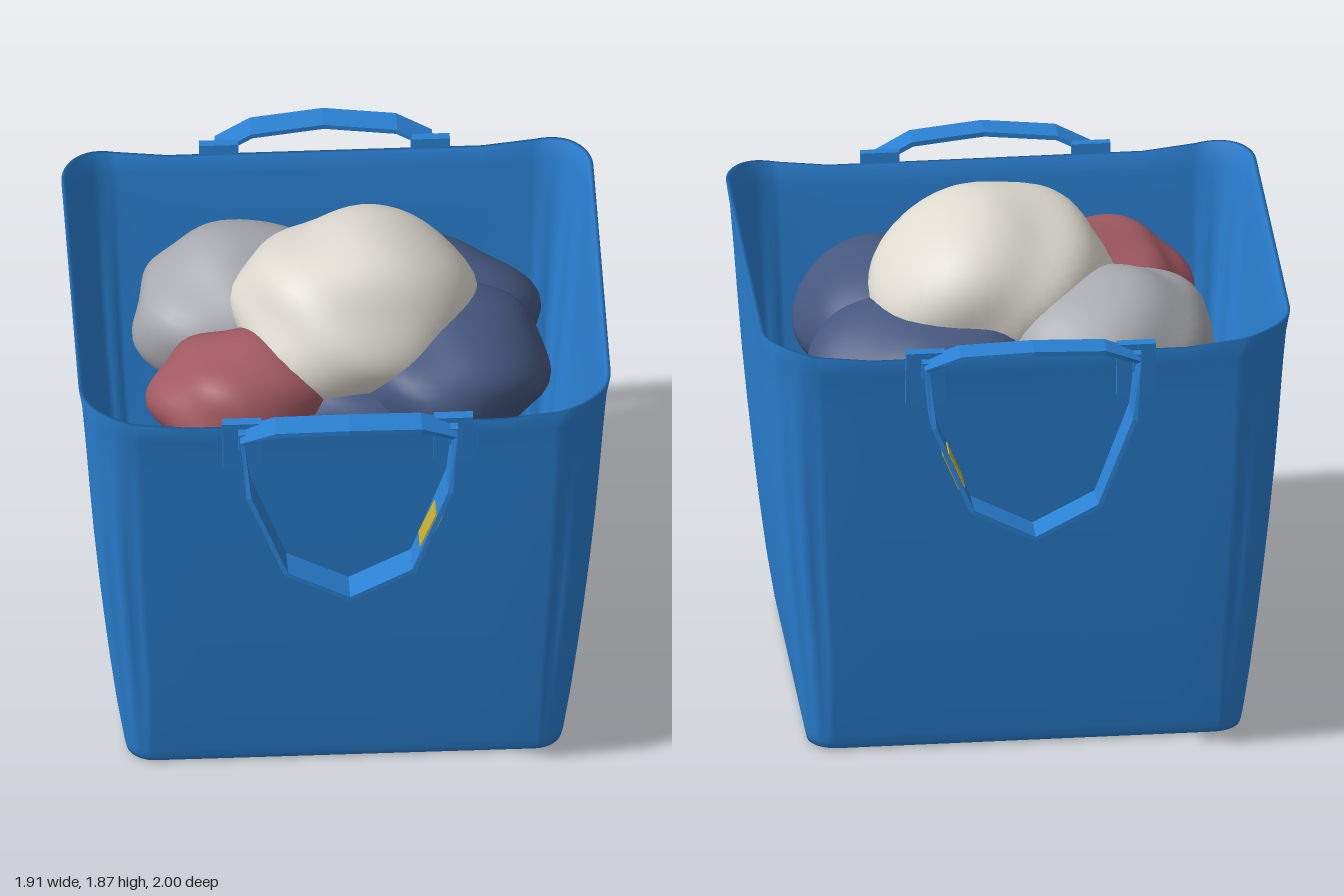
import * as THREE from 'three';
import { mergeVertices } from 'three/addons/utils/BufferGeometryUtils.js';

const mat = (name, color, extra = {}) => {
  const m = new THREE.MeshStandardMaterial({ color, ...extra });
  m.name = name;
  return m;
};

function part(parent, name, geometry, material, pos = [0, 0, 0]) {
  const mesh = new THREE.Mesh(geometry, material);
  mesh.name = name;
  mesh.position.set(...pos);
  parent.add(mesh);
  return mesh;
}

// Rounded rectangle ring, counter-clockwise from above, with softly creased corners
function ring(hx, hz, r, y, crease) {
  const pts = [], arc = 12, side = 8;
  const corners = [[1, -1], [-1, -1], [-1, 1], [1, 1]];
  corners.forEach(([sx, sz], c) => {
    const cx = sx * (hx - r), cz = sz * (hz - r);
    for (let i = 0; i <= arc; i++) {
      const t = i / arc, a = (c + t) * Math.PI / 2;
      const rr = r - crease * Math.sin(t * Math.PI * 3) ** 2;
      pts.push([cx + rr * Math.cos(a), y, cz - rr * Math.sin(a)]);
    }
    const [nx, nz] = corners[(c + 1) % 4], b = (c + 1) * Math.PI / 2;
    const s = [cx + r * Math.cos(b), cz - r * Math.sin(b)];
    const e = [nx * (hx - r) + r * Math.cos(b), nz * (hz - r) - r * Math.sin(b)];
    for (let i = 1; i < side; i++) {
      const t = i / side;
      pts.push([s[0] + (e[0] - s[0]) * t, y, s[1] + (e[1] - s[1]) * t]);
    }
  });
  return pts;
}

// Tub shell: underside, outer wall, rim, inner wall and floor in one loft
function tubGeometry() {
  const wall = [
    [0.785, 0.655, 0.1, 0.03], [0.79, 0.66, 0.1, 0.06], [0.815, 0.68, 0.12, 0.22],
    [0.84, 0.702, 0.14, 0.42], [0.862, 0.722, 0.15, 0.62], [0.882, 0.74, 0.16, 0.82],
    [0.9, 0.757, 0.17, 1.02], [0.915, 0.772, 0.18, 1.22], [0.93, 0.786, 0.19, 1.42],
    [0.942, 0.797, 0.2, 1.55], [0.955, 0.808, 0.2, 1.62],
  ];
  const rows = [[0.002, 0.002, 0.001, 0], [0.6, 0.5, 0.1, 0], [0.765, 0.635, 0.09, 0],
    [0.78, 0.65, 0.1, 0.008], ...wall];
  const d = 0.014;
  [...wall].reverse().forEach(([x, z, r, y]) => {
    if (y > 0.1) rows.push([x - d, z - d, r - d, y]);
  });
  rows.push([0.74, 0.61, 0.1, 0.08], [0.5, 0.4, 0.1, 0.05], [0.002, 0.002, 0.001, 0.05]);

  const pos = [], idx = [];
  let n = 0;
  rows.forEach(([hx, hz, r, y]) => {
    const crease = y > 0.1 ? 0.014 * Math.sin(Math.PI * Math.min(1, y / 1.6)) : 0;
    const pts = ring(hx, hz, r, y, crease);
    n = pts.length;
    // the rim rises toward the two side walls
    const lift = 0.05 * Math.max(0, (y - 1.2) / 0.42) ** 2;
    pts.forEach(([x, py, z]) =>
      pos.push(x, py + lift * THREE.MathUtils.smoothstep(Math.abs(x), 0.6, 0.94), z));
  });
  for (let j = 0; j < rows.length - 1; j++) {
    for (let i = 0; i < n; i++) {
      const a = j * n + i, b = j * n + (i + 1) % n;
      idx.push(a, b, b + n, a, b + n, a + n);
    }
  }
  const g = new THREE.BufferGeometry();
  g.setAttribute('position', new THREE.Float32BufferAttribute(pos, 3));
  g.setIndex(idx);
  g.computeVertexNormals();
  return g;
}

// Closed flat band through [x, y, z, width] points, width running along z
function strapGeometry(points, thickness) {
  const n = points.length;
  const sections = points.map(([x, y, z, w], i) => {
    const p = points[(i + n - 1) % n], q = points[(i + 1) % n];
    const a = new THREE.Vector2(x - p[0], y - p[1]).normalize();
    const t = new THREE.Vector2(q[0] - x, q[1] - y).normalize().add(a).normalize();
    const nx = t.y * thickness / 2, ny = -t.x * thickness / 2;
    return [[nx, ny, w / 2], [nx, ny, -w / 2], [-nx, -ny, -w / 2], [-nx, -ny, w / 2]]
      .map(([dx, dy, dz]) => [x + dx, y + dy, z + dz]);
  });
  const pos = [];
  for (let i = 0; i < n; i++) {
    const s = sections[i], e = sections[(i + 1) % n];
    for (let k = 0; k < 4; k++) {
      const m = (k + 1) % 4;
      pos.push(...s[k], ...s[m], ...e[m], ...s[k], ...e[m], ...e[k]);
    }
  }
  const g = new THREE.BufferGeometry();
  g.setAttribute('position', new THREE.Float32BufferAttribute(pos, 3));
  g.computeVertexNormals();
  return g;
}

// Crumpled cloth bundle: a sphere swollen and dented by a few waves
function bundleGeometry(rx, ry, rz, seed) {
  let g = new THREE.SphereGeometry(1, 48, 32);
  g.deleteAttribute('uv');
  g.deleteAttribute('normal');
  g = mergeVertices(g, 1e-4);
  const p = g.attributes.position, v = new THREE.Vector3();
  for (let i = 0; i < p.count; i++) {
    v.fromBufferAttribute(p, i);
    const k = 1 + 0.05 * Math.sin(3.1 * v.x + 2.2 * v.z + seed)
      + 0.035 * Math.sin(4.7 * v.z - 3.3 * v.y + seed * 2.3)
      + 0.025 * Math.sin(6.1 * v.x + 5 * v.y - 2 * v.z + seed * 1.7);
    p.setXYZ(i, v.x * k * rx, v.y * k * ry, v.z * k * rz);
  }
  g.computeVertexNormals();
  return g;
}

export function createModel() {
  const model = new THREE.Group();
  model.name = 'laundryTub';
  const blue = mat('blue plastic', 0x2a80d2);
  const blueFlat = blue;
  const yellow = mat('yellow grip', 0xc4ab2c);
  const white = mat('white cloth', 0xdedad0);
  const grey = mat('grey cloth', 0xa9abb1);
  const red = mat('red cloth', 0xa25a62);
  const navy = mat('navy cloth', 0x46587f);

  part(model, 'tub', tubGeometry(), blue);

  // Handles: a closed strap loop, two mounting tabs and yellow grips
  const half = [[0.23, 1.1, 0.94, 0.12], [0.362, 1.42, 0.895, 0.14],
    [0.382, 1.62, 0.855, 0.1], [0.26, 1.675, 0.88, 0.1]];
  const loop = [[0, 0.98, 0.94, 0.12], ...half, [0, 1.693, 0.9, 0.1],
    ...half.map(([x, y, z, w]) => [-x, y, z, w]).reverse()];
  const strap = strapGeometry(loop, 0.018);
  for (const s of [1, -1]) {
    const handle = new THREE.Group();
    handle.name = s > 0 ? 'frontHandle' : 'backHandle';
    if (s < 0) handle.rotation.y = Math.PI;
    model.add(handle);
    part(handle, 'strap', strap, blueFlat);
    for (const x of [-0.38, 0.38]) {
      const tab = part(handle, 'tab', new THREE.BoxGeometry(0.14, 0.21, 0.035), blue, [x, 1.555, 0.812]);
      tab.rotation.x = 0.06;
      part(handle, 'pivot', new THREE.BoxGeometry(0.03, 0.07, 0.06), blue, [x, 1.6, 0.84]);
    }
    const grip = part(handle, 'sideGrip', new THREE.BoxGeometry(0.027, 0.15, 0.09), yellow,
      [s * 0.292, 1.25, 0.925]);
    grip.rotation.z = -s * 0.39;
    for (const x of [-0.09, 0, 0.09]) {
      part(handle, 'topGrip', new THREE.BoxGeometry(0.05, 0.008, 0.055), yellow,
        [x, 1.682 - Math.abs(x) * 0.07, 0.895]);
    }
  }

  // Bundles of cloth piled inside
  const bundles = [
    ['whiteCloth', white, [0.06, 1.54, -0.01], [0.45, 0.31, 0.41], 1.2],
    ['greyCloth', grey, [-0.32, 1.37, -0.22], [0.41, 0.27, 0.35], 2.6],
    ['redCloth', red, [-0.36, 1.35, 0.27], [0.33, 0.23, 0.28], 0.4],
    ['navyClothBack', navy, [0.3, 1.3, -0.22], [0.42, 0.27, 0.38], 4.1],
    ['navyClothSide', navy, [0.36, 1.36, 0.1], [0.38, 0.25, 0.4], 5.3],
    ['navyClothFront', navy, [0.05, 1.2, 0.2], [0.38, 0.26, 0.31], 3.3],
  ];
  bundles.forEach(([name, m, pos, r, seed]) => part(model, name, bundleGeometry(...r, seed), m, pos));
  return model;
}
